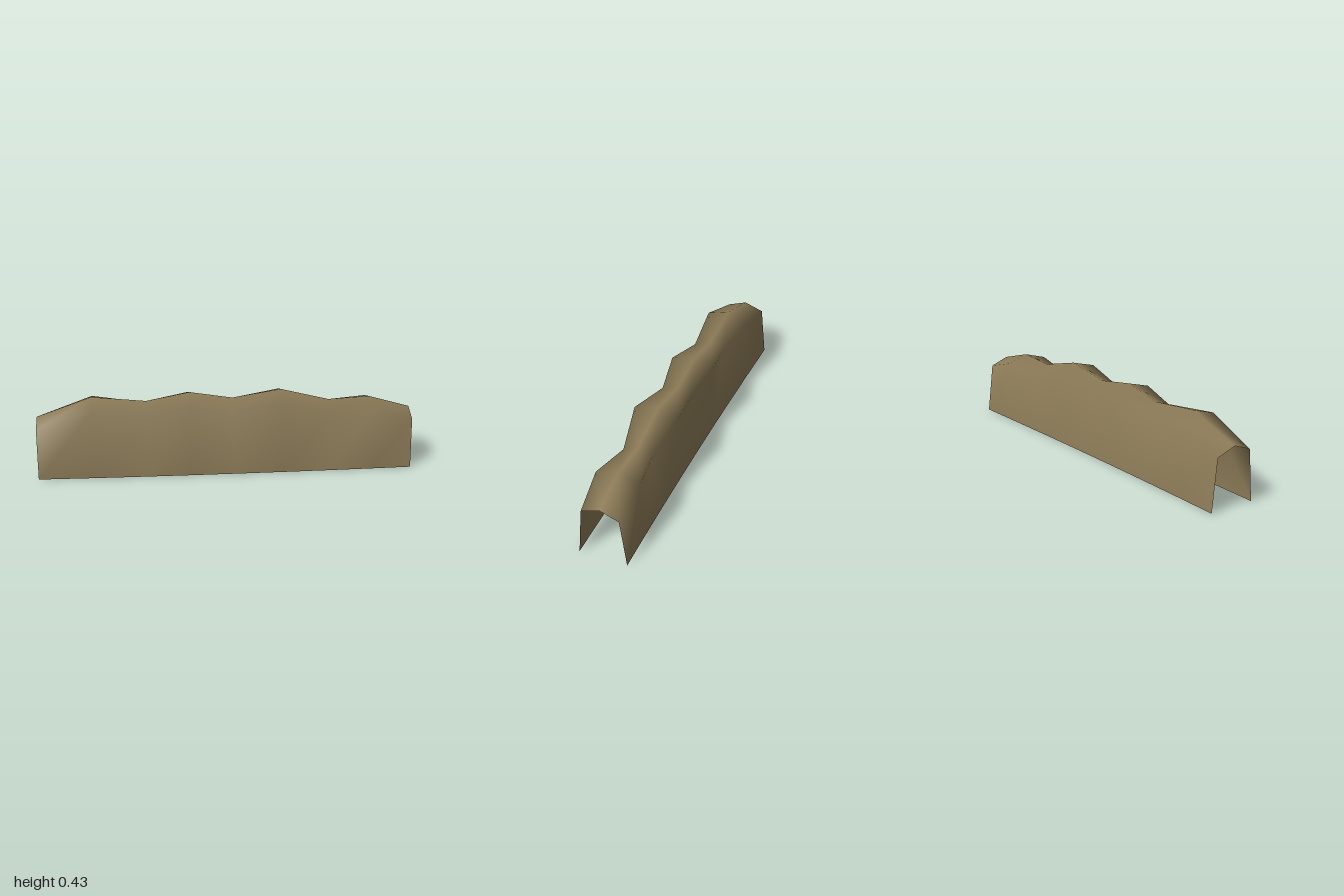
import * as THREE from 'three';

// Stations along the ridge: x, crest height, front shoulder z, back shoulder z
const stations = [
  [-1, 0.31, 0.1, -0.105],
  [-0.71, 0.412, 0.125, -0.118],
  [-0.42, 0.381, 0.092, -0.075],
  [-0.19, 0.424, 0.133, -0.106],
  [0.04, 0.386, 0.092, -0.074],
  [0.3, 0.427, 0.136, -0.109],
  [0.56, 0.361, 0.08, -0.076],
  [0.78, 0.372, 0.125, -0.113],
  [1, 0.308, 0.1, -0.1],
];

// Open arch-shaped shell joining one five-point cross-section per station
function ridgeGeometry() {
  const positions = [];
  const indices = [];
  const points = 5;
  stations.forEach(([x, crest, front, back], i) => {
    const bow = 0.012 * (1 - x * x); // the footprint bows gently to the front
    const shoulder = crest - 0.037;
    positions.push(
      x, 0, 0.122 + bow,
      x, shoulder, front,
      x, crest, 0,
      x, shoulder, back,
      x, 0, -0.134 + bow,
    );
    if (i === 0) return;
    for (let j = 0; j < points - 1; j++) {
      const a = (i - 1) * points + j;
      const b = i * points + j;
      indices.push(a, b, b + 1, a, b + 1, a + 1);
    }
  });
  const geometry = new THREE.BufferGeometry();
  geometry.setAttribute('position', new THREE.Float32BufferAttribute(positions, 3));
  geometry.setIndex(indices);
  geometry.computeVertexNormals();
  return geometry;
}

export function createModel() {
  const group = new THREE.Group();
  group.name = 'ridge';
  const earth = new THREE.MeshStandardMaterial({ color: 0x8d7c58, side: THREE.DoubleSide });
  earth.name = 'earth brown';
  const shell = new THREE.Mesh(ridgeGeometry(), earth);
  shell.name = 'ridgeShell';
  group.add(shell);
  return group;
}
